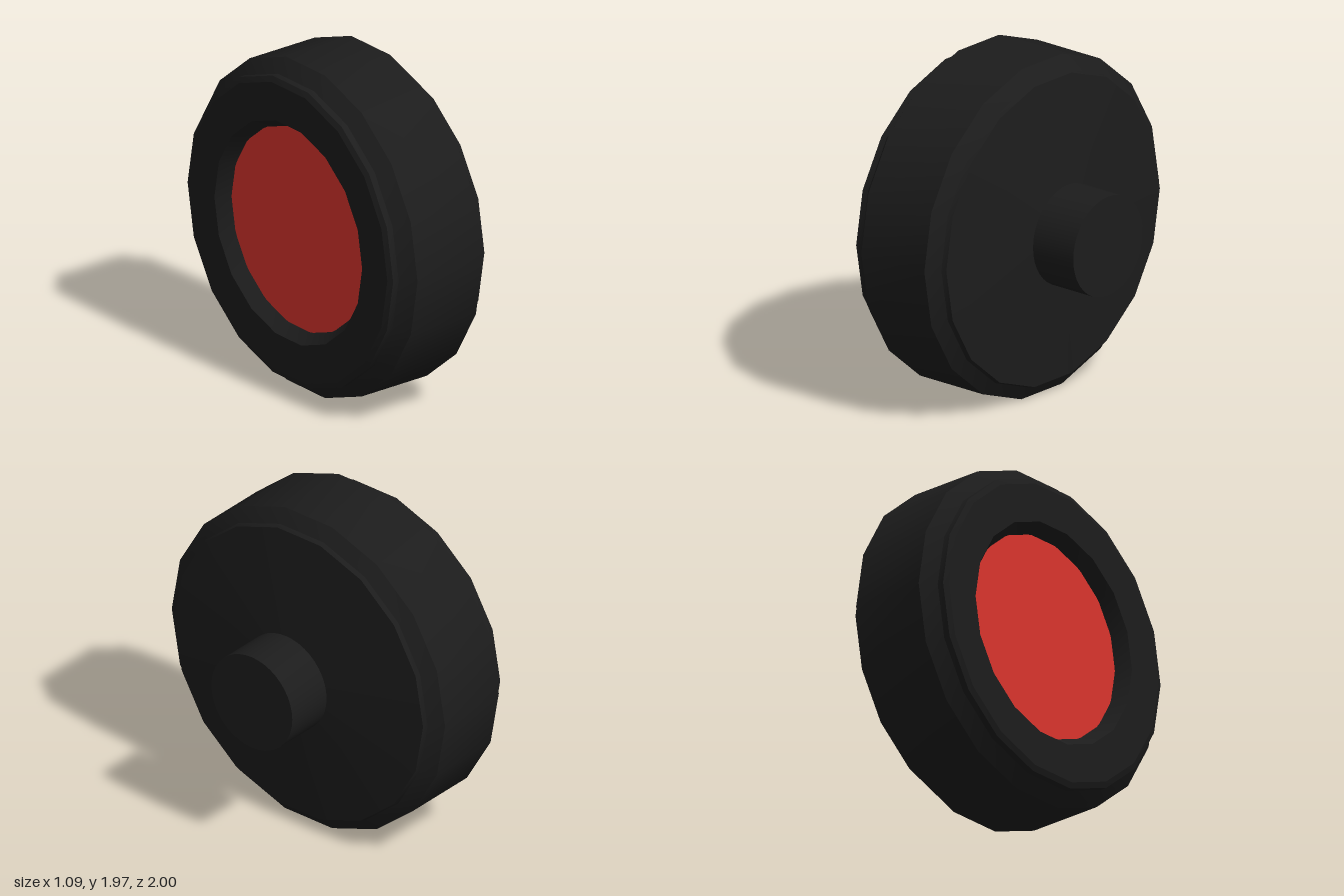
import * as THREE from 'three';
import { toCreasedNormals } from 'three/addons/utils/BufferGeometryUtils.js';

const SIDES = 18;
const CENTRE_Y = Math.cos(Math.PI / SIDES); // the wheel rests on a flat facet

// Revolves [x, radius] pairs around the x axis, keeping profile edges crisp
function turned(name, profile, sides, material) {
  const points = profile.map(([x, r]) => new THREE.Vector2(r, x));
  const geometry = new THREE.LatheGeometry(points, sides).rotateZ(-Math.PI / 2);
  const mesh = new THREE.Mesh(toCreasedNormals(geometry, 0.38), material);
  mesh.name = name;
  return mesh;
}

export function createModel() {
  const rubber = new THREE.MeshStandardMaterial({ color: 0x1c1c1c });
  rubber.name = 'black rubber';
  const red = new THREE.MeshStandardMaterial({ color: 0xda342d });
  red.name = 'red hub';

  const wheel = new THREE.Group();
  wheel.name = 'wheel';
  wheel.position.y = CENTRE_Y;

  // Tyre: recess wall, flat outer face, chamfered tread, shallow conical back
  wheel.add(turned('tyre', [
    [-0.455, 0.60], [-0.545, 0.66], [-0.545, 0.885], [-0.53, 0.918],
    [-0.49, 0.918], [-0.42, 1], [0.05, 1], [0.107, 0.92],
    [0.135, 0.91], [0.2, 0.2],
  ], SIDES, rubber));

  // Axle: narrow neck and wide stub with a flat end
  wheel.add(turned('axle', [
    [0.19, 0.208], [0.245, 0.208], [0.245, 0.296], [0.545, 0.296], [0.545, 0],
  ], 40, rubber));

  // Recessed hub disc, facing -x
  const hub = new THREE.Mesh(
    new THREE.CircleGeometry(0.605, 40).rotateY(-Math.PI / 2), red);
  hub.name = 'hubDisc';
  hub.position.x = -0.465;
  wheel.add(hub);

  const model = new THREE.Group();
  model.name = 'wheelWithAxle';
  model.add(wheel);
  return model;
}
